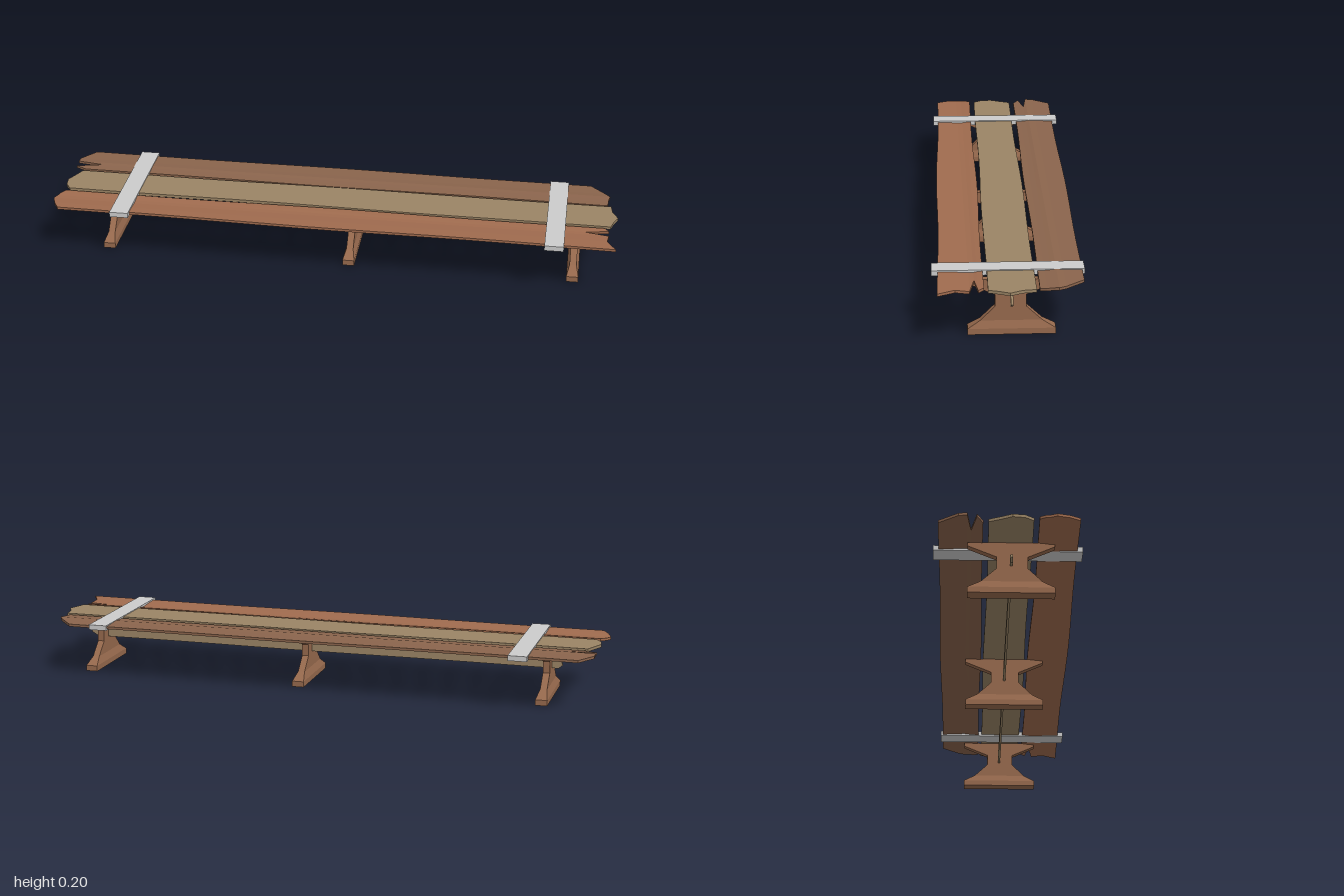
import * as THREE from 'three';

const mat = (color) => new THREE.MeshStandardMaterial({ color, flatShading: true, side: THREE.DoubleSide });
const lerp = THREE.MathUtils.lerp;

// Weathered plank. Each column is [z at left end, z at right end, left x, right x, height];
// the outer columns wander slightly, the uneven end x values give the broken ends.
function plank(name, color, thickness, columns, wobble) {
  const n = columns.length - 1;
  const geo = new THREE.BoxGeometry(1, 1, 1, 16, 1, n);
  const p = geo.attributes.position;
  for (let i = 0; i < p.count; i++) {
    const j = Math.round((p.getZ(i) + 0.5) * n);
    const t = p.getX(i) + 0.5;
    const [z0, z1, x0, x1, y] = columns[j];
    const edge = j === 0 || j === n ? wobble * Math.sin(t * 9 + j * 2) * Math.sin(t * Math.PI) : 0;
    p.setXYZ(i, lerp(x0, x1, t), y + p.getY(i) * thickness, lerp(z0, z1, t) + edge);
  }
  geo.computeVertexNormals();
  const mesh = new THREE.Mesh(geo, mat(color));
  mesh.name = name;
  return mesh;
}

// Trestle leg lofted through rectangles [y, back z, front z, half thickness]
function trestle(name, x) {
  const rings = [
    [0, -0.14, 0.14, 0.021], [0.02, -0.14, 0.14, 0.021], [0.045, -0.097, 0.1, 0.012],
    [0.092, -0.047, 0.053, 0.012], [0.133, -0.047, 0.053, 0.012],
    [0.172, -0.14, 0.14, 0.012], [0.185, -0.14, 0.14, 0.012],
  ];
  const pos = [], idx = [];
  for (const [y, b, f, h] of rings) pos.push(-h, y, f, h, y, f, h, y, b, -h, y, b);
  for (let r = 0; r < rings.length - 1; r++) {
    for (let k = 0; k < 4; k++) {
      const a = r * 4 + k, c = r * 4 + (k + 1) % 4;
      idx.push(a, c, c + 4, a, c + 4, a + 4);
    }
  }
  const t = (rings.length - 1) * 4;
  idx.push(0, 2, 1, 0, 3, 2, t, t + 1, t + 2, t, t + 2, t + 3);
  const geo = new THREE.BufferGeometry();
  geo.setAttribute('position', new THREE.Float32BufferAttribute(pos, 3));
  geo.setIndex(idx);
  const flat = geo.toNonIndexed();
  flat.computeVertexNormals();
  const mesh = new THREE.Mesh(flat, mat(0x96694d));
  mesh.name = name;
  mesh.position.x = x;
  return mesh;
}

export function createModel() {
  const group = new THREE.Group();
  group.name = 'bench';

  // Seat planks, back to front
  group.add(plank('backPlank', 0x8a644c, 0.009, [
    [-0.235, -0.226, -0.94, 0.9, 0.189],
    [-0.17, -0.165, -0.985, 0.955, 0.191],
    [-0.142, -0.143, -0.985, 0.97, 0.193],
    [-0.13, -0.125, -0.89, 0.965, 0.191],
    [-0.112, -0.105, -0.985, 0.965, 0.189],
    [-0.092, -0.083, -0.945, 0.96, 0.188],
  ], 0.003));
  group.add(plank('middlePlank', 0x9a8465, 0.01, [
    [-0.075, -0.073, -0.95, 0.975, 0.19],
    [-0.03, -0.03, -0.97, 0.98, 0.19],
    [0.0, 0.01, -0.985, 1.0, 0.19],
    [0.04, 0.045, -0.98, 0.985, 0.19],
    [0.068, 0.078, -0.96, 0.975, 0.19],
  ], 0.003));
  group.add(plank('frontPlank', 0x9f6b4e, 0.009, [
    [0.085, 0.09, -0.97, 0.955, 0.19],
    [0.105, 0.108, -0.985, 0.97, 0.188],
    [0.12, 0.119, -0.99, 0.885, 0.186],
    [0.14, 0.135, -1.0, 0.97, 0.185],
    [0.18, 0.18, -0.985, 0.965, 0.188],
    [0.215, 0.235, -0.965, 0.995, 0.189],
  ], 0.004));

  // Trestle legs
  [['rightLeg', -0.805], ['middleLeg', 0.065], ['leftLeg', 0.855]].forEach(([name, x]) => group.add(trestle(name, x)));

  // Rail through the legs: a thin plank set on edge
  const rail = plank('rail', 0x9a8465, 0.008, [
    [0.1, 0.1, -0.84, 0.885, 0],
    [0.112, 0.115, -0.855, 0.91, 0],
    [0.125, 0.125, -0.85, 0.9, 0],
    [0.133, 0.136, -0.83, 0.88, 0],
  ], 0.001);
  rail.rotation.x = -Math.PI / 2;
  group.add(rail);

  // Metal straps across the planks
  [['rightStrap', -0.738, -0.009], ['leftStrap', 0.787, 0.009]].forEach(([name, x, z]) => {
    const strap = new THREE.Mesh(new THREE.BoxGeometry(0.066, 0.018, 0.486), mat(0xcccccc));
    strap.name = name;
    strap.position.set(x, 0.189, z);
    group.add(strap);
  });
  return group;
}
